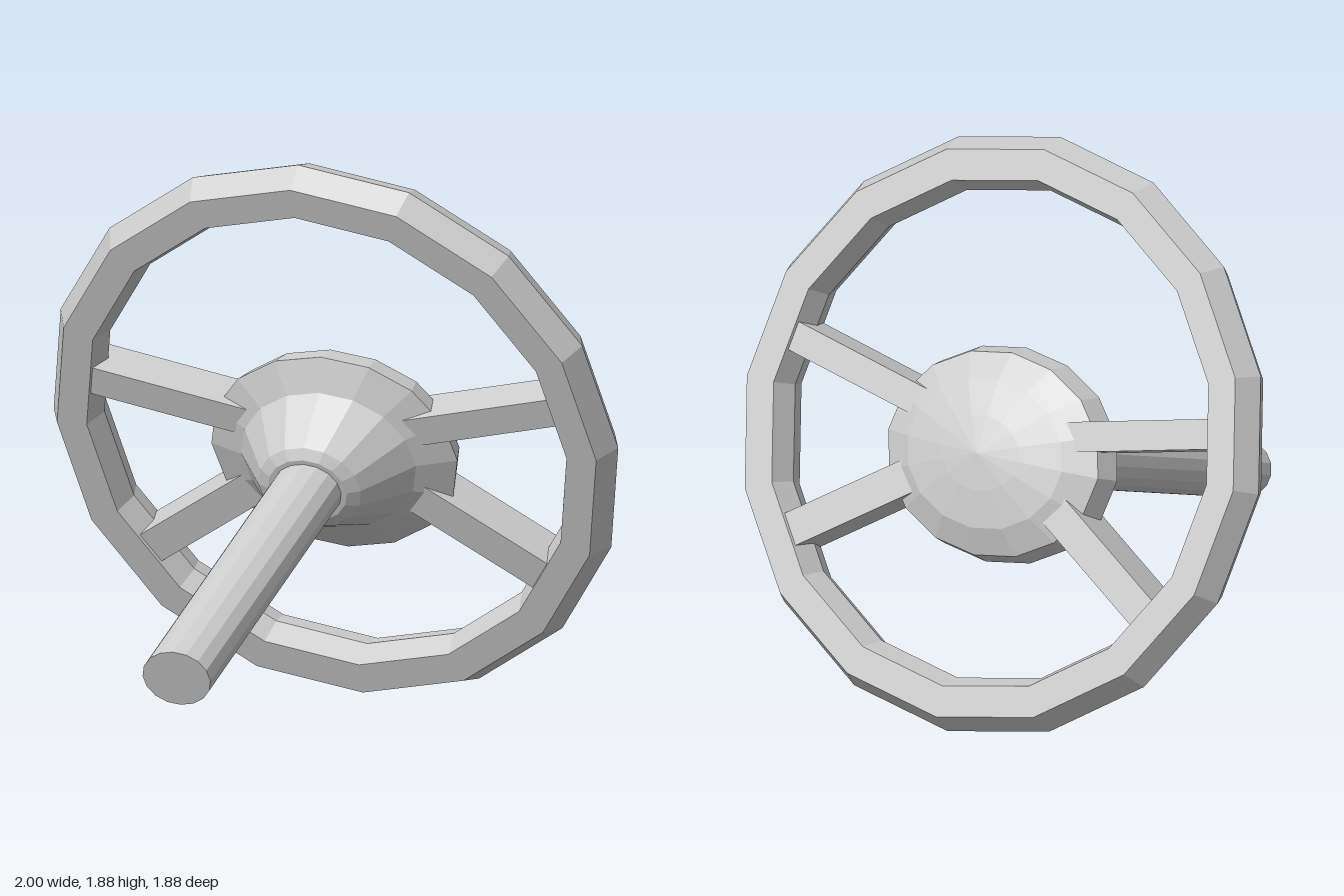
import * as THREE from 'three';

const SIDES = 16;

export function createModel() {
  const model = new THREE.Group();
  model.name = 'steeringWheel';
  const material = new THREE.MeshStandardMaterial({ color: 0xcccccc, flatShading: true });

  // Wheel plane is local xy, its axis is local z, pointing down the column
  const wheel = new THREE.Group();
  wheel.name = 'tiltedAssembly';
  wheel.position.set(0, 0.94, -0.528);
  wheel.rotation.x = THREE.MathUtils.degToRad(20);
  model.add(wheel);

  const add = (name, geometry) => {
    const mesh = new THREE.Mesh(geometry, material);
    mesh.name = name;
    wheel.add(mesh);
    return mesh;
  };
  // Profile of [radius, axial position] turned about local z
  const turned = (profile) =>
    new THREE.LatheGeometry(profile.map(([r, n]) => new THREE.Vector2(r, n)), SIDES).rotateX(Math.PI / 2);

  // Rim with a six-sided section
  add('rim', turned([
    [0.82, 0], [0.85, -0.09], [0.955, -0.09], [1, 0], [0.955, 0.09], [0.85, 0.09], [0.82, 0],
  ]));

  // Oval hub: shallow dome at the back, cone towards the column
  const hubY = -0.068, oval = 1.21;
  const hub = add('hub', turned([
    [0, -0.15], [0.125, -0.13], [0.25, -0.1], [0.34, -0.045], [0.36, 0.04],
    [0.255, 0.095], [0.15, 0.278], [0.115, 0.3], [0, 0.3],
  ]));
  hub.scale.x = oval;
  hub.position.y = hubY;

  // Oval steering column
  const start = 0.25, end = 1.552;
  const column = add('column',
    new THREE.CylinderGeometry(0.1, 0.1, end - start, SIDES).rotateX(Math.PI / 2));
  column.scale.x = 1.2;
  column.position.set(0, hubY, (start + end) / 2);

  // Two pairs of spokes, running from inside the hub into the rim
  const spokes = [
    { name: 'upperSpoke', from: [0.25, 0.037], to: [0.85, 0.171], width: 0.1 },
    { name: 'lowerSpoke', from: [0.2, -0.145], to: [0.716, -0.481], width: 0.115 },
  ];
  for (const { name, from, to, width } of spokes) {
    for (const side of [1, -1]) {
      const dx = (to[0] - from[0]) * side, dy = to[1] - from[1];
      const spoke = add(name + (side > 0 ? 'Left' : 'Right'),
        new THREE.BoxGeometry(Math.hypot(dx, dy), width, 0.16));
      spoke.position.set(side * (from[0] + to[0]) / 2, (from[1] + to[1]) / 2, 0);
      spoke.rotation.z = Math.atan2(dy, dx);
    }
  }
  return model;
}
